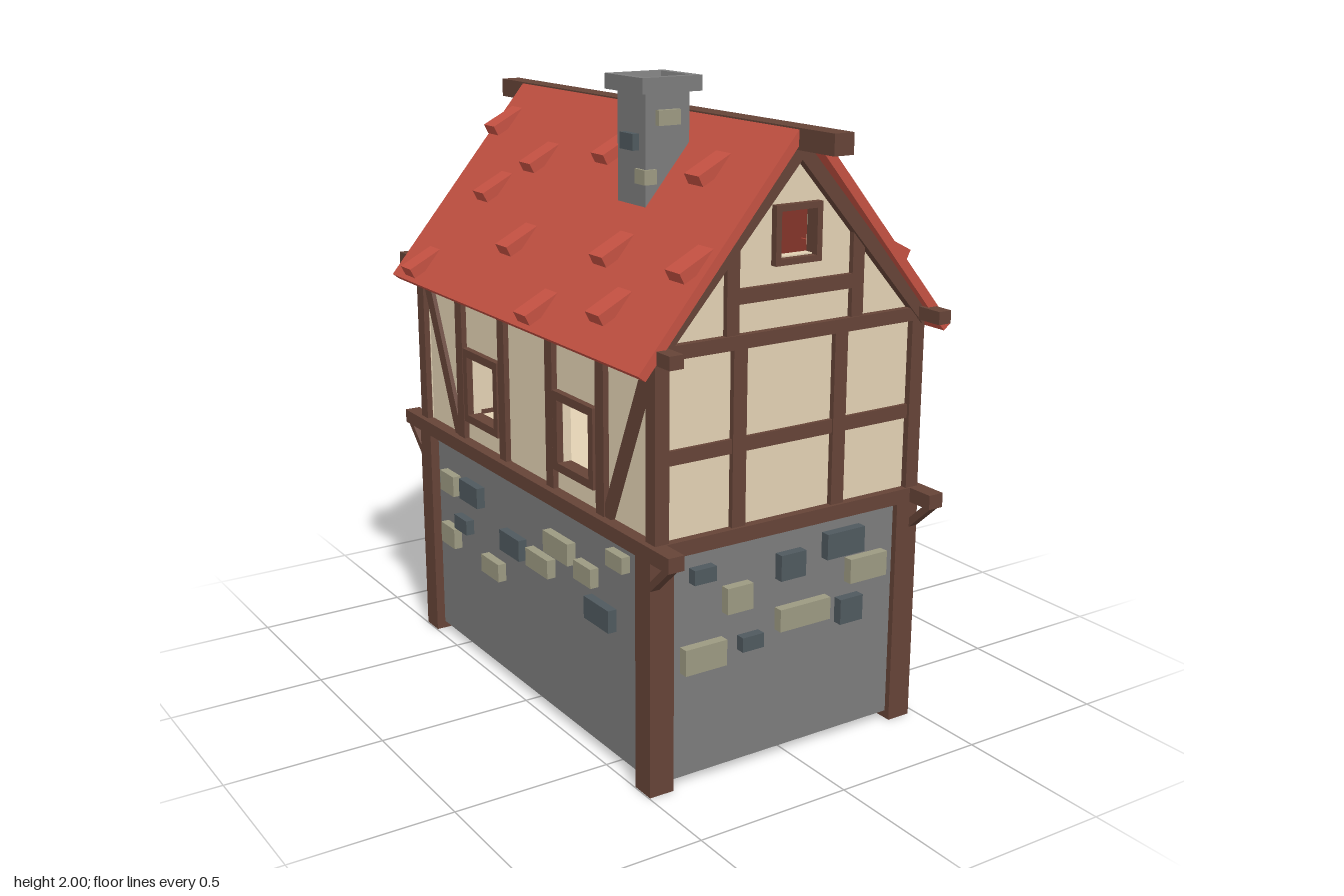
import * as THREE from 'three';

const mat = (name, color) => {
  const m = new THREE.MeshStandardMaterial({ color });
  m.name = name;
  return m;
};
const M = {
  wood: mat('dark timber', 0x654337),
  plaster: mat('plaster', 0xe2d1b3),
  stone: mat('grey stone', 0x7c7c7c),
  dark: mat('slate stone', 0x4f595e),
  pale: mat('pale stone', 0x9c9981),
  roof: mat('red tile', 0xc45142),
  door: mat('door planks', 0x6e4433),
  iron: mat('iron', 0x35302d),
};

function add(parent, name, geo, m) {
  const mesh = new THREE.Mesh(geo, m);
  mesh.name = name;
  parent.add(mesh);
  return mesh;
}
// box given by its limits
function box(parent, name, m, x0, x1, y0, y1, z0, z1) {
  const b = add(parent, name, new THREE.BoxGeometry(x1 - x0, y1 - y0, z1 - z0), m);
  b.position.set((x0 + x1) / 2, (y0 + y1) / 2, (z0 + z1) / 2);
}
// straight timber between two points of a wall plane
function bar(parent, name, m, a, b, width, z0, z1) {
  const dx = b[0] - a[0], dy = b[1] - a[1];
  const s = add(parent, name, new THREE.BoxGeometry(Math.hypot(dx, dy), width, z1 - z0), m);
  s.position.set((a[0] + b[0]) / 2, (a[1] + b[1]) / 2, (z0 + z1) / 2);
  s.rotation.z = Math.atan2(dy, dx);
}
const poly = (pts) => new THREE.Shape(pts.map((p) => new THREE.Vector2(...p)));
const rect = (x0, x1, y0, y1) => poly([[x0, y0], [x1, y0], [x1, y1], [x0, y1]]);
// round-topped outline standing on y0
function arch(cx, r, y0, spring) {
  const s = new THREE.Shape();
  s.moveTo(cx - r, y0);
  s.lineTo(cx + r, y0);
  s.lineTo(cx + r, spring);
  s.absarc(cx, spring, r, 0, Math.PI, false);
  return s;
}
function plate(parent, name, m, shape, holes, z0, z1) {
  shape.holes.push(...holes);
  const geo = new THREE.ExtrudeGeometry(shape, { depth: z1 - z0, bevelEnabled: false, curveSegments: 8 });
  const p = add(parent, name, geo, m);
  p.position.z = z0;
  return p;
}
// timber window surround, limits of the outer edge
function windowFrame(parent, x0, x1, y0, y1, t, z0, z1) {
  plate(parent, 'windowFrame', M.wood, rect(x0, x1, y0, y1), [rect(x0 + t, x1 - t, y0 + t, y1 - t)], z0, z1);
}
// stones: [x, y, width, height, isDark]
function stones(parent, list, z0, z1) {
  for (const [x, y, w, h, d] of list)
    box(parent, 'wallStone', d ? M.dark : M.pale, x - w / 2, x + w / 2, y - h / 2, y + h / 2, z0, z1);
}

// gable wall, seen from outside with its own z pointing outwards
function gable(house, isBack) {
  const g = new THREE.Group();
  g.name = isBack ? 'backGable' : 'frontGable';
  g.rotation.y = isBack ? Math.PI : 0;
  house.add(g);
  const holes = [rect(-0.065, 0.065, 1.53, 1.66)];
  if (isBack) holes.push(rect(-0.1, 0.1, 0.92, 1.14));
  plate(g, 'gableWall', M.plaster,
    poly([[-0.455, 0.74], [0.455, 0.74], [0.455, 1.32], [0, 1.84], [-0.455, 1.32]]), holes, 0.695, 0.725);
  const w0 = 0.7, w1 = 0.742;
  box(g, 'floorBeam', M.wood, -0.492, 0.492, 0.725, 0.77, 0.69, 0.752);
  box(g, 'tieBeam', M.wood, -0.48, 0.48, 1.29, 1.33, w0, 0.747);
  box(g, 'collarBeam', M.wood, -0.2, 0.2, 1.415, 1.457, w0, w1);
  windowFrame(g, -0.08, 0.08, 1.508, 1.677, 0.018, w0, 0.747);
  for (const x of isBack ? [-0.195, 0.195] : [-0.19, 0.165])
    box(g, 'wallPost', M.wood, x - 0.023, x + 0.023, 0.77, 1.29, w0, w1);
  for (const s of [-1, 1]) {
    box(g, 'gablePost', M.wood, s * 0.218 - 0.021, s * 0.218 + 0.021, 1.33, 1.58, w0, w1);
    bar(g, 'rakeBeam', M.wood, [s * 0.475, 1.295], [0, 1.828], 0.042, w0, 0.752);
    box(g, 'sideRail', M.wood, Math.min(s * 0.45, s * 0.2), Math.max(s * 0.45, s * 0.2), 0.99, 1.032, w0, 0.737);
  }
  if (isBack) {
    windowFrame(g, -0.125, 0.125, 0.895, 1.165, 0.03, w0, 0.744);
    box(g, 'mullion', M.wood, -0.012, 0.012, 0.92, 1.14, w0, 0.732);
    box(g, 'transom', M.wood, -0.1, 0.1, 1.02, 1.044, w0, 0.732);
    stones(g, [[-0.24, 0.61, 0.1, 0.05, 0], [-0.37, 0.53, 0.07, 0.05, 1], [-0.165, 0.53, 0.1, 0.07, 1],
      [-0.01, 0.62, 0.09, 0.05, 1], [0.16, 0.54, 0.14, 0.06, 0], [-0.28, 0.45, 0.12, 0.06, 1],
      [-0.04, 0.45, 0.13, 0.06, 0], [0.1, 0.43, 0.09, 0.06, 1], [0.35, 0.57, 0.1, 0.06, 0],
      [0.23, 0.35, 0.15, 0.06, 0]], 0.7, 0.737);
  } else {
    box(g, 'middleRail', M.wood, -0.2, 0.2, 0.99, 1.032, w0, 0.737);
    stones(g, [[-0.305, 0.648, 0.075, 0.045, 1], [-0.183, 0.55, 0.09, 0.08, 0], [0.007, 0.61, 0.09, 0.08, 1],
      [0.202, 0.64, 0.14, 0.08, 1], [0.292, 0.543, 0.14, 0.077, 0], [0.055, 0.445, 0.185, 0.07, 0],
      [0.23, 0.42, 0.085, 0.08, 1], [-0.135, 0.402, 0.075, 0.045, 1], [-0.3, 0.395, 0.143, 0.08, 0]], 0.7, 0.748);
  }
}

// long wall, seen from outside with its own z pointing outwards
function longWall(house, isLeft) {
  const g = new THREE.Group();
  g.name = isLeft ? 'doorSide' : 'plainSide';
  g.rotation.y = isLeft ? Math.PI / 2 : -Math.PI / 2;
  house.add(g);
  plate(g, 'longWall', M.plaster, rect(-0.715, 0.715, 0.74, 1.32),
    [-0.296, 0.296].map((c) => rect(c - 0.09, c + 0.09, 0.86, 1.06)), 0.425, 0.452);
  box(g, 'floorBeam', M.wood, -0.84, 0.84, 0.725, 0.77, 0.44, 0.492);
  box(g, 'wallPlate', M.wood, -0.84, 0.84, 1.293, 1.332, 0.445, 0.49);
  for (const s of [-1, 1]) {
    for (const [x, w] of [[0.152, 0.043], [0.446, 0.046]])
      box(g, 'wallPost', M.wood, s * x - w / 2, s * x + w / 2, 0.77, 1.3, 0.43, 0.47);
    box(g, 'cornerPost', M.wood, s * 0.722 - 0.024, s * 0.722 + 0.024, 0.77, 1.3, 0.428, 0.474);
    bar(g, 'diagonalBrace', M.wood, [s * 0.475, 0.77], [s * 0.695, 1.27], 0.045, 0.43, 0.466);
    windowFrame(g, s * 0.296 - 0.117, s * 0.296 + 0.117, 0.835, 1.082, 0.026, 0.425, 0.473);
    box(g, 'groundPost', M.wood, s * 0.698 - 0.039, s * 0.698 + 0.039, 0, 0.73, 0.405, 0.485);
    bar(g, 'beamBracket', M.wood, [s * 0.73, 0.645], [s * 0.825, 0.732], 0.022, 0.455, 0.485);
  }
  if (!isLeft) {
    stones(g, [[-0.545, 0.58, 0.1, 0.07, 0], [-0.55, 0.39, 0.1, 0.07, 0], [-0.385, 0.59, 0.13, 0.07, 1],
      [-0.45, 0.46, 0.09, 0.05, 1], [-0.24, 0.375, 0.12, 0.06, 0], [-0.1, 0.5, 0.13, 0.07, 1],
      [0.2, 0.59, 0.15, 0.07, 0], [0.08, 0.5, 0.14, 0.06, 0], [0.36, 0.56, 0.1, 0.06, 0],
      [0.44, 0.46, 0.14, 0.07, 1], [0.54, 0.66, 0.09, 0.05, 0]], 0.44, 0.484);
    return;
  }
  stones(g, [[-0.555, 0.662, 0.11, 0.045, 0], [-0.21, 0.692, 0.07, 0.045, 1], [-0.497, 0.535, 0.115, 0.06, 0],
    [-0.108, 0.572, 0.075, 0.045, 0], [0.065, 0.672, 0.11, 0.045, 1], [0.11, 0.537, 0.07, 0.065, 1],
    [-0.595, 0.38, 0.07, 0.05, 1], [-0.062, 0.372, 0.135, 0.065, 0], [0.58, 0.672, 0.13, 0.065, 0],
    [0.6, 0.372, 0.07, 0.065, 1], [0.34, 0.685, 0.08, 0.045, 1], [0.228, 0.352, 0.035, 0.025, 1],
    [0.46, 0.445, 0.03, 0.05, 0], [0.237, 0.62, 0.035, 0.045, 0]], 0.44, 0.492);
  // arched door with planks, stone surround and handle
  plate(g, 'doorSurround', M.stone, arch(0.344, 0.13, 0.312, 0.565), [arch(0.344, 0.099, 0.312, 0.565)], 0.44, 0.485);
  plate(g, 'door', M.door, arch(0.344, 0.099, 0.32, 0.565), [], 0.44, 0.465);
  for (const y of [0.35, 0.5, 0.585]) box(g, 'doorSeam', M.wood, 0.246, 0.442, y - 0.003, y + 0.003, 0.46, 0.468);
  add(g, 'doorHandle', new THREE.SphereGeometry(0.013, 8, 6), M.iron).position.set(0.425, 0.46, 0.475);
  // blind arched niche
  plate(g, 'nicheSurround', M.stone, arch(-0.324, 0.085, 0.45, 0.545), [arch(-0.324, 0.058, 0.45, 0.545)], 0.44, 0.485);
  box(g, 'nicheSill', M.stone, -0.42, -0.228, 0.43, 0.452, 0.44, 0.495);
}

function roof(house) {
  const g = new THREE.Group();
  g.name = 'roof';
  house.add(g);
  const roofY = (d) => 1.887 - 1.19 * (d - 0.03);
  box(g, 'ridgeBeam', M.wood, -0.033, 0.033, 1.828, 1.888, -0.928, 0.928);
  // loose raised tiles: [distance from ridge, z]
  const tiles = {
    '1': [[0.187, -0.59], [0.457, -0.65], [0.217, -0.325], [0.532, -0.36], [0.122, -0.05], [0.427, -0.05],
      [0.217, 0.24], [0.402, 0.365], [0.122, 0.54], [0.532, 0.61], [0.362, 0.7]],
    '-1': [[0.513, -0.625], [0.148, -0.71], [0.303, -0.5], [0.213, -0.345], [0.398, -0.165], [0.158, 0.015],
      [0.513, 0.16], [0.358, 0.335], [0.463, 0.49], [0.158, 0.525], [0.343, 0.71]],
  };
  for (const s of [1, -1]) {
    plate(g, 'roofSlope', M.roof, poly([[s * 0.03, 1.887], [s * 0.03, 1.842], [s * 0.524, 1.254],
      [s * 0.547, roofY(0.547)]]), [], -0.777, 0.777);
    // each tile rises out of the slope at its upper edge
    for (const [d, z] of tiles[s]) {
      const t = add(g, 'raisedTile', new THREE.BoxGeometry(0.123, 0.034, 0.073), M.roof);
      t.position.set(s * (d - 0.008), roofY(d - 0.055) - 0.043, z);
      t.rotation.z = -s * 0.475;
    }
  }
}

function chimney(house) {
  const g = new THREE.Group();
  g.name = 'chimney';
  g.position.set(-0.171, 0, 0.267);
  house.add(g);
  // square shaft, cap and flue in one turned profile
  const profile = [[0.075, 1.5], [0.075, 1.955], [0.102, 1.955], [0.102, 2], [0.077, 2], [0.058, 1.91], [0, 1.91]]
    .map(([r, y]) => new THREE.Vector2(r * Math.SQRT2, y));
  const shaft = new THREE.LatheGeometry(profile, 4, Math.PI / 4).toNonIndexed();
  shaft.computeVertexNormals();
  add(g, 'chimneyShaft', shaft, M.stone);
  box(g, 'chimneyStone', M.pale, -0.04, 0.035, 1.862, 1.906, 0.05, 0.092);
  box(g, 'chimneyStone', M.pale, -0.084, -0.043, 1.695, 1.738, 0.03, 0.085);
  box(g, 'chimneyStone', M.pale, -0.03, 0.045, 1.862, 1.906, -0.09, -0.05);
  box(g, 'chimneyStone', M.dark, -0.096, -0.05, 1.79, 1.838, -0.03, 0.04);
}

export function createModel() {
  const model = new THREE.Group();
  model.name = 'timberHouse';
  const house = new THREE.Group();
  house.name = 'house';
  house.position.x = -0.012;
  model.add(house);
  // hollow ground floor, open underneath
  const walls = plate(house, 'groundWalls', M.stone, rect(-0.455, 0.455, -0.718, 0.718),
    [rect(-0.435, 0.435, -0.698, 0.698)], 0, 0.705);
  walls.rotation.x = -Math.PI / 2;
  walls.position.y = 0.025;
  box(house, 'ceiling', M.stone, -0.45, 0.45, 0.725, 0.742, -0.71, 0.71);
  box(house, 'upperFloor', M.plaster, -0.44, 0.44, 0.742, 0.755, -0.7, 0.7);
  for (const flag of [false, true]) {
    gable(house, flag);
    longWall(house, flag);
  }
  roof(house);
  chimney(house);
  return model;
}
